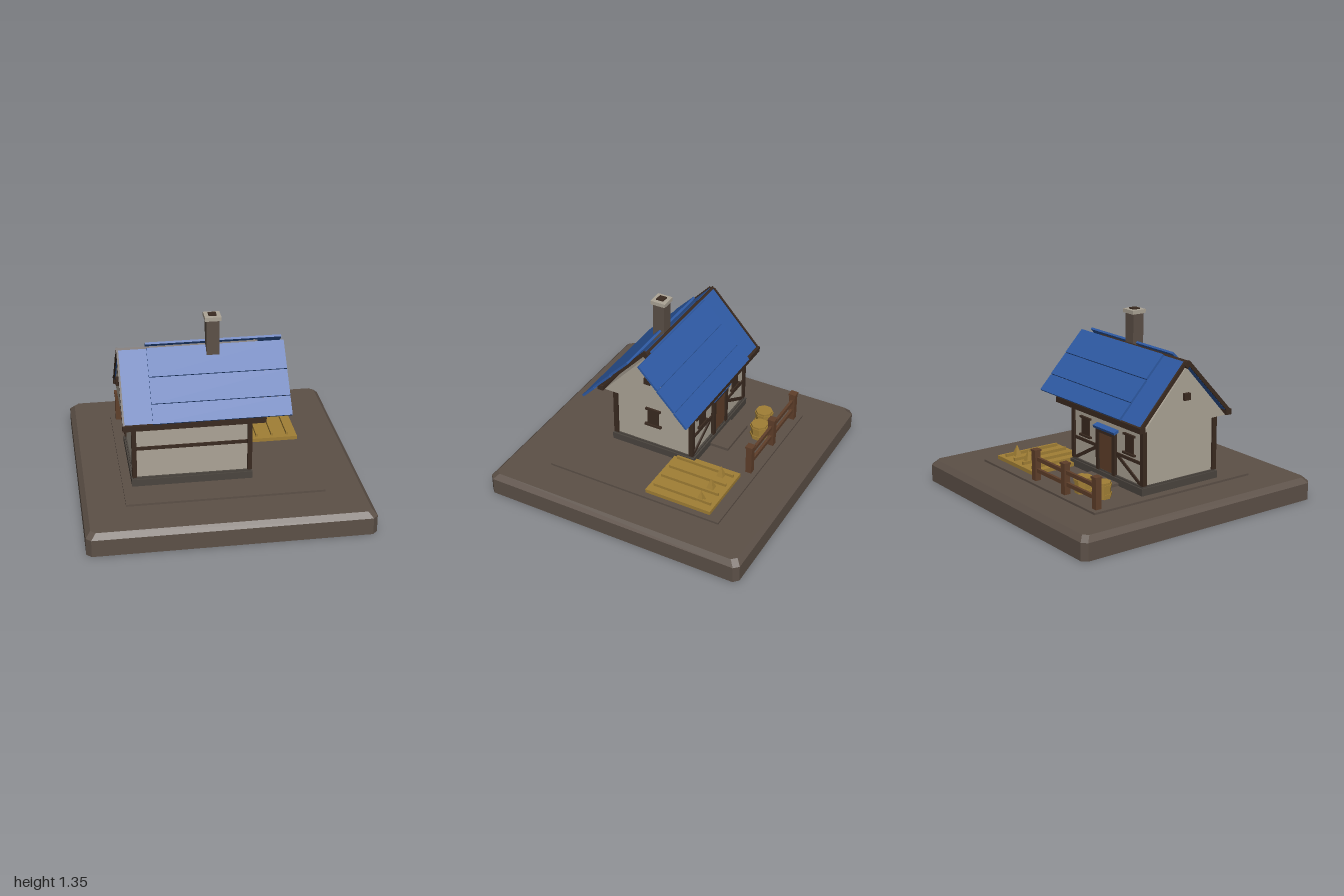
import * as THREE from 'three';

const material = (name, color) => {
  const m = new THREE.MeshStandardMaterial({ color });
  m.name = name;
  return m;
};

export function createModel() {
  const root = new THREE.Group();
  root.name = 'cottage';
  const earth = material('earth brown', 0x5c5047);
  const stone = material('dark stone', 0x4a443e);
  const plaster = material('plaster', 0xaca496);
  const beam = material('dark timber', 0x3a2a20);
  const wood = material('brown wood', 0x5f3f2a);
  const blue = material('roof blue', 0x2e5aa4);
  const straw = material('straw yellow', 0xa17f35);

  const add = (name, geo, mat, parent = root) => {
    const mesh = new THREE.Mesh(geo, mat);
    mesh.name = name;
    parent.add(mesh);
    return mesh;
  };
  // Box given by its limits on each axis
  const box = (name, mat, x0, x1, y0, y1, z0, z1, parent) => {
    const g = new THREE.BoxGeometry(x1 - x0, y1 - y0, z1 - z0);
    g.translate((x0 + x1) / 2, (y0 + y1) / 2, (z0 + z1) / 2);
    return add(name, g, mat, parent);
  };
  // Outline in (z, y) extruded along x
  const prism = (name, mat, x0, x1, points) => {
    const shape = new THREE.Shape(points.map(([z, y]) => new THREE.Vector2(z, y)));
    const g = new THREE.ExtrudeGeometry(shape, { depth: x1 - x0, bevelEnabled: false });
    g.rotateY(-Math.PI / 2).translate(x1, 0, 0);
    return add(name, g, mat);
  };
  const CZ = 0.083; // ridge line
  // Sloping board on one side of the ridge; points are (distance from ridge, y)
  const slope = (name, mat, x0, x1, side, [d0, y0], [d1, y1], t) => {
    const len = Math.hypot(d1 - d0, y1 - y0);
    const nd = (-(y1 - y0) / len) * t, ny = ((d1 - d0) / len) * t;
    const pts = [[d0, y0], [d1, y1], [d1 + nd, y1 + ny], [d0 + nd, y0 + ny]];
    return prism(name, mat, x0, x1, pts.map(([d, y]) => [CZ + side * d, y]));
  };

  // Ground slab with cut corners and bevelled top
  const c = 0.965;
  const outline = new THREE.Shape([[1, c], [c, 1], [-c, 1], [-1, c], [-1, -c], [-c, -1], [c, -1], [1, -c]]
    .map(([x, y]) => new THREE.Vector2(x, y)));
  const layer = (y, h, topScale) => {
    const g = new THREE.ExtrudeGeometry(outline, { depth: h, bevelEnabled: false });
    g.rotateX(-Math.PI / 2);
    const p = g.attributes.position;
    for (let i = 0; i < p.count; i++) {
      if (p.getY(i) > h / 2) p.setXYZ(i, p.getX(i) * topScale, h, p.getZ(i) * topScale);
    }
    g.computeVertexNormals();
    return g.translate(0, y, 0);
  };
  add('groundSlab', layer(0, 0.125, 1), earth);
  add('groundBevel', layer(0.125, 0.038, c), earth);
  box('yard', earth, -0.7, 0.7, 0.16, 0.178, -0.7, 0.66);
  box('doorstep', earth, -0.365, -0.04, 0.175, 0.2, -0.4, -0.24);

  // House body
  box('plinth', stone, -0.635, 0.225, 0.178, 0.23, -0.255, 0.42);
  box('plinthTop', stone, -0.625, 0.215, 0.23, 0.243, -0.245, 0.41);
  box('walls', plaster, -0.615, 0.205, 0.24, 0.66, -0.23, 0.396);
  prism('gable', plaster, -0.68, 0.28, [[CZ - 0.36, 0.65], [CZ + 0.36, 0.65], [CZ, 1.05]]);
  for (const x of [-0.63, 0.188])
    for (const z of [-0.245, 0.376]) box('cornerPost', beam, x, x + 0.033, 0.243, 0.65, z, z + 0.035);
  box('frontRail', beam, -0.6, 0.19, 0.455, 0.48, 0.39, 0.405);

  // Roof: inner boards, rakes, eaves and the raised tile courses
  const tile = (y) => [0.41 - ((y - 0.7) / 0.39) * 0.375, y];
  for (const s of [-1, 1]) {
    slope('roofBoard', blue, -0.685, 0.28, s, [0.37, 0.675], [0, 1.075], -0.02);
    for (const x of [-0.693, 0.28])
      slope('rakeBoard', beam, x, x + 0.014, s, [0.385, 0.66], [0, 1.076], -0.028);
    const z = CZ + s * 0.383;
    box('eaveBeam', beam, -0.695, 0.305, 0.65, 0.69, z - 0.023, z + 0.023);
    [0.7, 0.8, 0.937].forEach((y, i) => {
      const top = [0.8, 0.937, 1.09][i], lift = i * 0.006;
      const [a, b] = [tile(y), tile(top)];
      slope('tileCourse', blue, -0.485, 0.485, s, [a[0], a[1] + lift - 0.004], [b[0], b[1] + lift - 0.004], -0.016);
    });
  }
  const ridge = add('ridgeBeam', new THREE.BoxGeometry(1.005, 0.042, 0.042), beam);
  ridge.position.set(-0.195, 1.07, CZ);
  ridge.rotation.x = Math.PI / 4;
  box('gableVent', beam, 0.27, 0.298, 0.82, 0.87, 0.058, 0.108);
  box('gableVent', beam, -0.703, -0.67, 0.82, 0.87, 0.058, 0.108);

  // Chimney
  box('chimney', earth, -0.07, 0.02, 1.0, 1.31, 0.095, 0.185);
  box('chimneyCap', plaster, -0.082, 0.033, 1.308, 1.336, 0.083, 0.197);
  box('chimneyFlue', beam, -0.052, 0.003, 1.33, 1.345, 0.112, 0.167);

  // Windows face +z before being turned into place
  const windowAt = (x, y, z, turn) => {
    const g = new THREE.Group();
    g.name = 'window';
    box('shutter', beam, -0.045, 0.045, -0.065, 0.065, -0.005, 0.01, g);
    box('lintel', beam, -0.062, 0.062, 0.06, 0.075, -0.005, 0.017, g);
    box('sill', beam, -0.067, 0.067, -0.075, -0.06, -0.005, 0.02, g);
    g.position.set(x, y, z);
    g.rotation.y = turn;
    root.add(g);
  };
  windowAt(0.205, 0.475, CZ, Math.PI / 2);
  windowAt(0.055, 0.505, -0.23, Math.PI);
  windowAt(-0.465, 0.505, -0.23, Math.PI);

  // Door wall: door, canopy and half-timbering mirrored about the door
  const DX = -0.205;
  box('door', wood, DX - 0.08, DX + 0.08, 0.235, 0.52, -0.243, -0.225);
  box('doorHead', beam, DX - 0.11, DX + 0.11, 0.515, 0.545, -0.255, -0.225);
  const canopy = add('doorCanopy', new THREE.BoxGeometry(0.25, 0.02, 0.06), blue);
  canopy.position.set(DX, 0.56, -0.24);
  canopy.rotation.x = -0.35;
  for (const s of [-1, 1]) {
    const post = DX + s * 0.095;
    box('doorPost', beam, post - 0.016, post + 0.016, 0.235, 0.53, -0.255, -0.225);
    const rail = DX + s * 0.25;
    box('backRail', beam, rail - 0.15, rail + 0.15, 0.39, 0.412, -0.24, -0.225);
    const brace = add('brace', new THREE.BoxGeometry(0.31, 0.024, 0.014), beam);
    brace.position.set(rail, 0.322, -0.233);
    brace.rotation.z = -s * 0.5;
  }

  // Fence
  for (const x of [-0.64, -0.275, 0.09]) {
    box('fencePost', wood, x - 0.023, x + 0.023, 0.17, 0.395, -0.663, -0.617);
    box('postCap', wood, x - 0.028, x + 0.028, 0.393, 0.406, -0.668, -0.612);
  }
  for (const y of [0.24, 0.325]) box('fenceRail', wood, -0.64, 0.09, y, y + 0.028, -0.65, -0.63);

  // Straw tubs
  for (const [x, z] of [[-0.48, -0.48], [-0.315, -0.52]]) {
    const ring = (name, r, y, h) => {
      const g = new THREE.CylinderGeometry(r, r, h, 8).toNonIndexed();
      g.computeVertexNormals();
      g.rotateY(Math.PI / 8).translate(x, y, z);
      add(name, g, straw);
    };
    ring('tub', 0.063, 0.235, 0.116);
    for (const y of [0.205, 0.27]) ring('tubBand', 0.07, y, 0.016);
  }

  // Garden bed with furrows and sprouts
  box('gardenBed', straw, 0.18, 0.655, 0.17, 0.206, -0.612, -0.1);
  for (const x of [0.24, 0.355, 0.47, 0.585])
    box('furrow', straw, x - 0.008, x + 0.008, 0.2, 0.228, -0.585, -0.13);
  for (const x of [0.262, 0.415, 0.568]) {
    const g = new THREE.ConeGeometry(0.038, 0.085, 4).toNonIndexed();
    g.computeVertexNormals();
    add('sprout', g.rotateY(Math.PI / 4).translate(x, 0.247, -0.498), straw);
  }
  return root;
}
